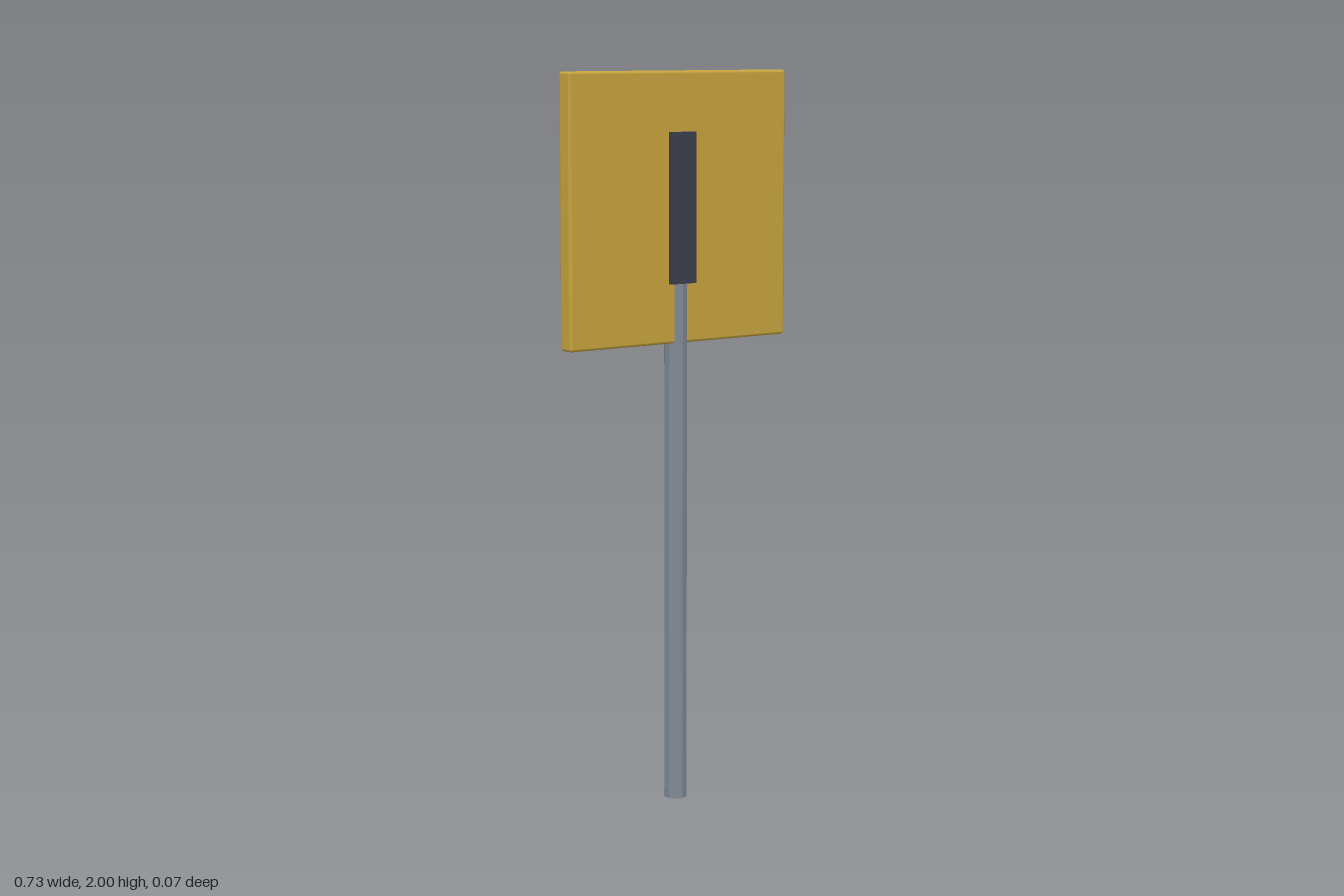
import * as THREE from 'three';
import { RoundedBoxGeometry } from 'three/addons/geometries/RoundedBoxGeometry.js';

function material(name, color, flatShading = false) {
  const m = new THREE.MeshStandardMaterial({ color });
  m.name = name;
  m.flatShading = flatShading;
  return m;
}

export function createModel() {
  const group = new THREE.Group();
  group.name = 'signPost';

  const add = (name, geometry, mat, x, y, z) => {
    const mesh = new THREE.Mesh(geometry, mat);
    mesh.name = name;
    mesh.position.set(x, y, z);
    group.add(mesh);
  };

  // ten-sided pole, its top running up through the board
  add('pole', new THREE.CylinderGeometry(0.032, 0.032, 1.64, 10),
    material('steel grey', 0x808a94, true), 0, 0.82, -0.004);

  // square board with softened edges
  add('board', new RoundedBoxGeometry(0.732, 0.73, 0.048, 2, 0.008),
    material('mustard yellow', 0xc9a53f), 0, 1.635, -0.005);

  // upright bar on the front of the board
  add('frontBar', new THREE.BoxGeometry(0.081, 0.406, 0.02),
    material('dark slate', 0x3c3f4e), 0, 1.635, 0.025);

  return group;
}
